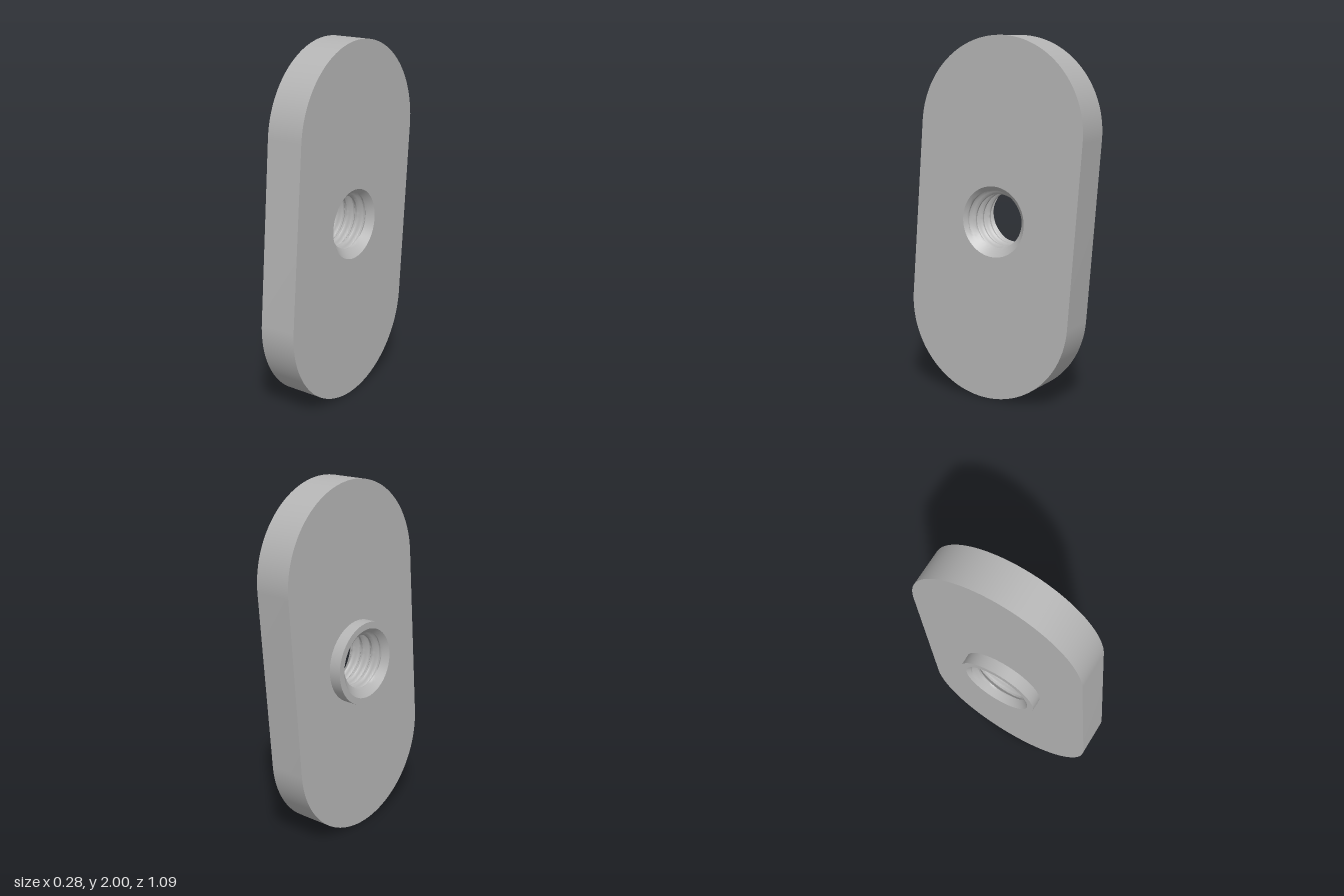
import * as THREE from 'three';
import { toCreasedNormals } from 'three/addons/utils/BufferGeometryUtils.js';

const PLATE_BACK = -0.075, PLATE_FRONT = 0.14, BOSS_END = -0.145;
const MOUTH = 0.195, MINOR = 0.145, MAJOR = 0.175, PITCH = 0.07;

// Slanted stadium with a round hole, extruded along x
function plateGeometry() {
  const r = 0.505, dx = 0.04, tilt = Math.atan2(dx, 0.495);
  const shape = new THREE.Shape();
  shape.absarc(dx, 0.495, r, -tilt, Math.PI - tilt, false);
  shape.absarc(-dx, -0.495, r, Math.PI - tilt, 2 * Math.PI - tilt, false);
  shape.closePath();
  const hole = new THREE.Path();
  hole.absarc(0, 0, MOUTH, 0, Math.PI * 2, true);
  shape.holes.push(hole);
  const g = new THREE.ExtrudeGeometry(shape, {
    depth: PLATE_FRONT - PLATE_BACK, bevelEnabled: false, curveSegments: 48,
  });
  g.rotateY(Math.PI / 2).translate(PLATE_BACK, 0, 0);
  return toCreasedNormals(g, 0.5);
}

// Raised collar: outer wall and end ring
function bossGeometry() {
  const profile = [[0.232, -PLATE_BACK], [0.232, -BOSS_END], [MOUTH, -BOSS_END]];
  const g = new THREE.LatheGeometry(profile.map(p => new THREE.Vector2(...p)), 96);
  return toCreasedNormals(g.rotateZ(Math.PI / 2), 0.5);
}

// Helical thread, widened by a countersink at both mouths
function threadGeometry() {
  const cols = 96, steps = 12;
  const turns = Math.ceil((PLATE_FRONT - BOSS_END) / PITCH) + 1;
  const rows = turns * steps;
  const pos = [], index = [];
  for (let i = 0; i <= rows; i++) {
    const f = (i % steps) / steps;
    // flat crest, sloped flank, flat root, sloped flank
    const wave = THREE.MathUtils.clamp(Math.abs(f - 0.5) * 4 - 0.5, 0, 1);
    const thread = THREE.MathUtils.lerp(MAJOR, MINOR, wave);
    for (let j = 0; j <= cols; j++) {
      const a = (j / cols) * Math.PI * 2;
      const raw = BOSS_END + PITCH * (i / steps - 1 + j / cols);
      const x = THREE.MathUtils.clamp(raw, BOSS_END, PLATE_FRONT);
      const sink = MOUTH - Math.min((PLATE_FRONT - x), (x - BOSS_END) * 1.2);
      const r = Math.max(thread, sink);
      pos.push(x, r * Math.cos(a), r * Math.sin(a));
      if (i < rows && j < cols) {
        const p = i * (cols + 1) + j, q = p + cols + 1;
        index.push(p, q, p + 1, q, q + 1, p + 1);
      }
    }
  }
  const g = new THREE.BufferGeometry();
  g.setAttribute('position', new THREE.Float32BufferAttribute(pos, 3));
  g.setIndex(index);
  return toCreasedNormals(g, 0.5);
}

export function createModel() {
  const steel = new THREE.MeshStandardMaterial({ color: 0xb4b4b4 });
  steel.name = 'steel grey';
  const model = new THREE.Group();
  model.name = 'slotNut';
  const parts = { plate: plateGeometry(), boss: bossGeometry(), threadedBore: threadGeometry() };
  for (const [name, geometry] of Object.entries(parts)) {
    const mesh = new THREE.Mesh(geometry, steel);
    mesh.name = name;
    mesh.position.y = 1;
    model.add(mesh);
  }
  return model;
}
